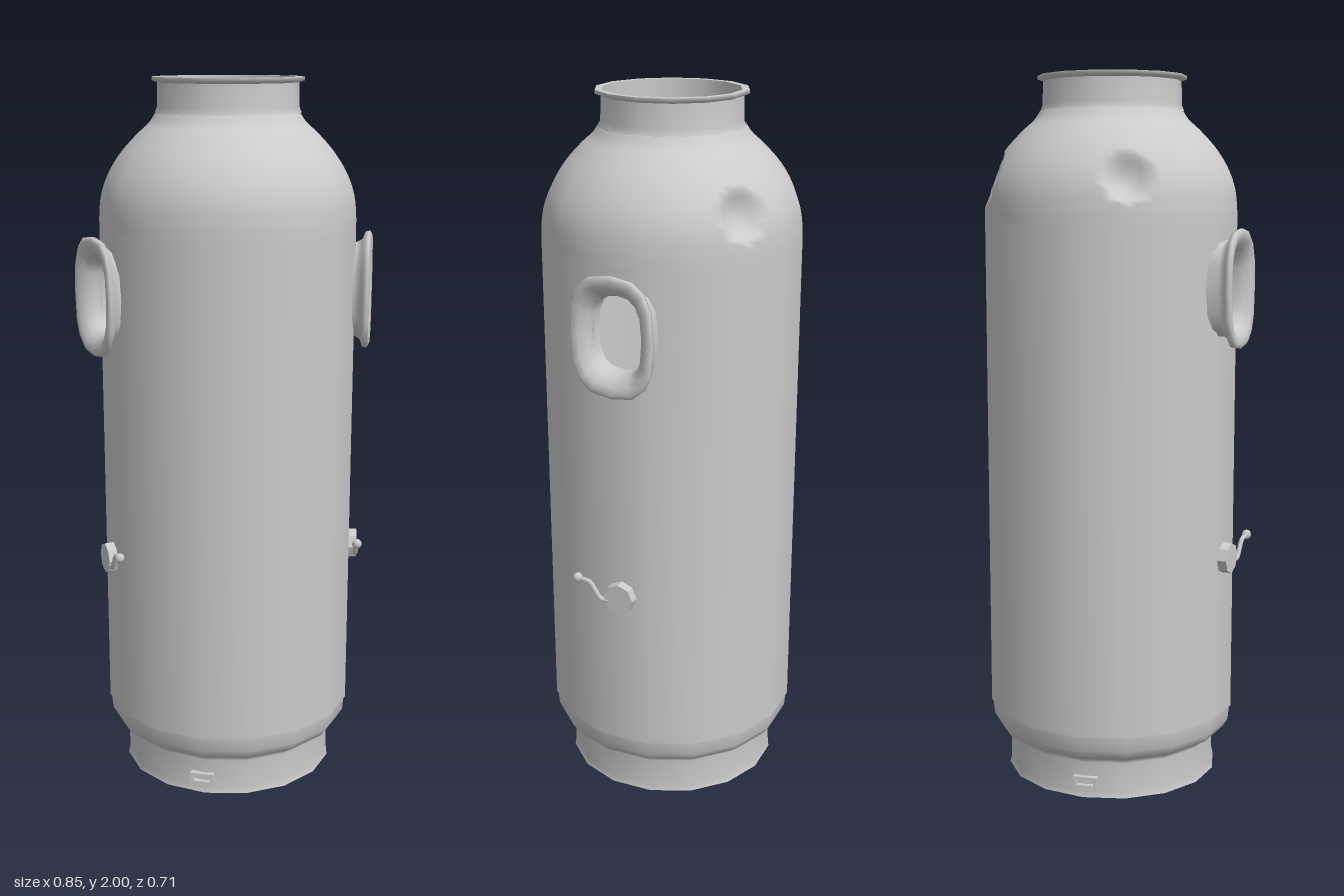
import * as THREE from 'three';

const SIDES = 16;
const STEP = (Math.PI * 2) / SIDES;

export function createModel() {
  const model = new THREE.Group();
  model.name = 'gasCylinder';
  const grey = new THREE.MeshStandardMaterial({ color: 0xcccccc, side: THREE.DoubleSide });

  const add = (parent, name, geometry) => {
    const mesh = new THREE.Mesh(geometry, grey);
    mesh.name = name;
    parent.add(mesh);
    return mesh;
  };
  const lathe = (points, sides = SIDES, start = 0, length = Math.PI * 2) =>
    new THREE.LatheGeometry(points.map(([r, y]) => new THREE.Vector2(r, y)), sides, start, length);

  // Foot ring, its underside and the rounded lower edge of the tank
  add(model, 'footInnerWall', lathe([[0.235, 0.13], [0.235, 0]]));
  add(model, 'footRim', lathe([[0.235, 0], [0.25, 0]]));
  add(model, 'footStep', lathe([[0.25, 0], [0.262, 0.014]]));
  add(model, 'footBase', lathe([[0.262, 0.014], [0.305, 0.014]]));
  add(model, 'footWall', lathe([[0.305, 0.014], [0.301, 0.03], [0.3, 0.115], [0.308, 0.128],
    [0.333, 0.142], [0.349, 0.168], [0.353, 0.21]]));
  add(model, 'seam', lathe([[0.353, 0.21], [0.357, 0.21]]));
  add(model, 'tankBottom', lathe([[0.235, 0.13], [0.15, 0.16], [0.036, 0.17]]));

  // Straight wall, with one facet left open on each side for the ports
  const R = 0.357, low = 1.32, high = 1.53;
  add(model, 'lowerWall', lathe([[R, 0.21], [R, low]]));
  add(model, 'rearPortWall', lathe([[R, low], [R, high]], 8, Math.PI / 2, Math.PI));
  add(model, 'frontPortWall', lathe([[R, low], [R, high]], 6, Math.PI * 1.5 + STEP, STEP * 6));
  add(model, 'upperWall', lathe([[R, high], [R, 1.6]]));

  // Shoulder with two dents at the back
  add(model, 'shoulder', makeShoulder(lathe));

  // Neck and its flared lip
  add(model, 'neck', lathe([[0.2, 1.905], [0.194, 1.92], [0.192, 1.985]], 14));
  add(model, 'neckLip', lathe([[0.192, 1.985], [0.207, 1.99], [0.207, 2]], 14));
  add(model, 'neckRim', lathe([[0.207, 2], [0.187, 2]], 14));
  add(model, 'neckInnerWall', lathe([[0.187, 2], [0.187, 1.86]], 14));

  // Valve seat inside the neck
  add(model, 'valveDome', lathe([[0.187, 1.86], [0.15, 1.885], [0.094, 1.9]], 14));
  add(model, 'valveCollar', lathe([[0.094, 1.9], [0.094, 1.94]], 14));
  add(model, 'valveCollarRim', lathe([[0.094, 1.94], [0.087, 1.94]], 14));
  add(model, 'valveDish', lathe([[0.087, 1.94], [0.07, 1.918], [0.036, 1.91]], 14));
  add(model, 'valveBore', lathe([[0.036, 1.91], [0.036, 1.84]], 14));

  // Port frames and taps, one of each per side
  for (const side of [1, -1]) {
    const fittings = new THREE.Group();
    fittings.name = side > 0 ? 'leftFittings' : 'rightFittings';
    fittings.scale.x = side;
    model.add(fittings);

    const port = add(fittings, 'portFrame', makePort());
    port.position.set(0.378, 1.423, 0.075);
    port.rotation.y = THREE.MathUtils.degToRad(72.6);

    const tap = new THREE.Group();
    tap.name = 'tap';
    tap.position.set(0.347, 0.67, 0.068);
    tap.rotation.y = THREE.MathUtils.degToRad(78);
    fittings.add(tap);
    const knob = new THREE.CylinderGeometry(0.043, 0.045, 0.045, 8).toNonIndexed();
    knob.computeVertexNormals();
    add(tap, 'tapKnob', knob).rotation.x = Math.PI / 2;
    const path = new THREE.CatmullRomCurve3([[-0.03, -0.012], [-0.055, -0.01], [-0.072, 0.012],
      [-0.088, 0.034], [-0.125, 0.04]].map(([x, y]) => new THREE.Vector3(x, y, 0.018)));
    add(tap, 'tapLever', new THREE.TubeGeometry(path, 10, 0.007, 6));
    const tip = add(tap, 'leverTip', new THREE.SphereGeometry(0.014, 8, 6));
    tip.position.set(-0.125, 0.041, 0.018);
  }

  // Small slotted plates at the front and back of the foot
  const plate = new THREE.Shape();
  plate.moveTo(-0.034, -0.016).lineTo(0.034, -0.016).lineTo(0.034, 0.016).lineTo(-0.034, 0.016);
  const slot = new THREE.Path();
  slot.moveTo(-0.024, -0.008).lineTo(-0.024, 0.008).lineTo(0.024, 0.008).lineTo(0.024, -0.008);
  plate.holes.push(slot);
  for (const z of [1, -1]) {
    const geometry = new THREE.ExtrudeGeometry(plate, { depth: 0.03, bevelEnabled: false });
    const mesh = add(model, z > 0 ? 'frontFootPlate' : 'backFootPlate', geometry);
    mesh.position.set(-0.115, 0.06, z * 0.257);
    mesh.rotation.y = Math.atan2(-0.115, z * 0.27);
  }
  return model;
}

// Fine grid laid on the 16-sided outline, pushed inwards around each dent
function makeShoulder(lathe) {
  const curve = new THREE.CatmullRomCurve3([[0.357, 1.6], [0.356, 1.64], [0.35, 1.69], [0.333, 1.74],
    [0.3, 1.795], [0.25, 1.85], [0.217, 1.88], [0.2, 1.905]].map(([x, y]) => new THREE.Vector3(x, y, 0)));
  const g = lathe(curve.getPoints(28).map((p) => [p.x, p.y]), SIDES * 6);
  const pos = g.attributes.position;
  const smooth = g.attributes.normal.clone();
  const dented = [];
  for (let i = 0; i < pos.count; i++) {
    const x = pos.getX(i), y = pos.getY(i), z = pos.getZ(i);
    const angle = Math.atan2(x, z) + Math.PI * 2;
    const facet = Math.cos(STEP / 2) / Math.cos((angle % STEP) - STEP / 2);
    const away = Math.hypot((Math.abs(x) - 0.235) / 0.075, (y - 1.72) / 0.075, (z + 0.235) / 0.075);
    const push = z < 0 && away < 1 ? 0.045 * (1 - away * away) ** 1.2 : 0;
    const r = Math.hypot(x, z);
    const k = facet * (1 - push / r);
    pos.setXYZ(i, x * k, y - push * 0.4, z * k);
    if (push > 0) dented.push(i);
  }
  g.computeVertexNormals();
  const n = g.attributes.normal;
  for (const i of dented) smooth.setXYZ(i, n.getX(i), n.getY(i), n.getZ(i));
  g.setAttribute('normal', smooth);
  return g;
}

// Oval loops [half width, half height, depth]: skirt, flange, then tunnel
function makePort() {
  const loops = [[0.102, 0.14, -0.07], [0.096, 0.13, -0.03], [0.104, 0.14, -0.012], [0.122, 0.161, -0.004],
    [0.124, 0.163, 0.008], [0.115, 0.152, 0.014], [0.098, 0.132, 0.01], [0.082, 0.112, -0.008],
    [0.076, 0.103, -0.03], [0.076, 0.102, -0.06]];
  const count = 16, power = 2 / 2.8;
  const vertices = [], index = [];
  const bend = (v) => Math.sign(v) * Math.abs(v) ** power;
  loops.forEach(([w, h, d], j) => {
    for (let i = 0; i < count; i++) {
      const a = (i / count) * Math.PI * 2;
      vertices.push(w * bend(Math.cos(a)), h * bend(Math.sin(a)), d);
      if (j === loops.length - 1) continue;
      const p = j * count + i, q = j * count + ((i + 1) % count);
      index.push(p, q, p + count, q, q + count, p + count);
    }
  });
  const g = new THREE.BufferGeometry();
  g.setAttribute('position', new THREE.Float32BufferAttribute(vertices, 3));
  g.setIndex(index);
  g.computeVertexNormals();
  return g;
}
